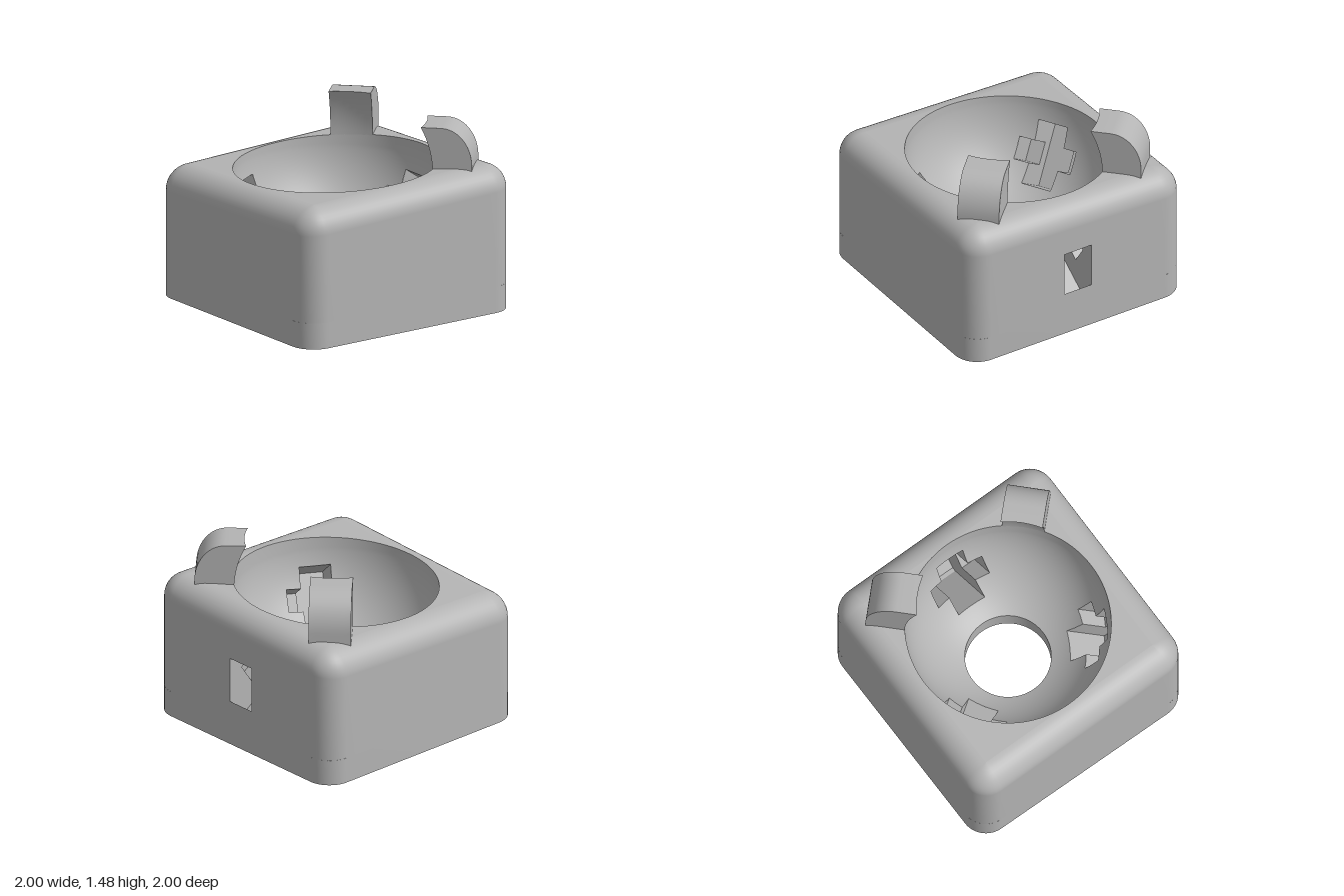
import * as THREE from 'three';
import { toCreasedNormals } from 'three/addons/utils/BufferGeometryUtils.js';

const R = 0.8, CY = 1.11, HOLE = 0.335, FLOOR = 0.21, FILLET = 0.2;
const topY = (x, z) => CY + 0.034 * x - 0.034 * z; // sloping top plane

// Removes the part of a surface that lies inside an oriented box
function cut(geo, { matrix, min, max }) {
  const g = geo.index ? geo.toNonIndexed() : geo.clone();
  g.applyMatrix4(matrix.clone().invert());
  const P = g.attributes.position, N = g.attributes.normal, pos = [], nor = [];
  const emit = (poly) => {
    for (let i = 1; i + 1 < poly.length; i++)
      for (const v of [poly[0], poly[i], poly[i + 1]]) { pos.push(v[0], v[1], v[2]); nor.push(v[3], v[4], v[5]); }
  };
  const clip = (poly, dist) => {
    const out = [];
    poly.forEach((a, i) => {
      const b = poly[(i + 1) % poly.length], da = dist(a), db = dist(b);
      if (da >= 0) out.push(a);
      if ((da > 0 && db < 0) || (da < 0 && db > 0)) out.push(a.map((c, k) => c + (b[k] - c) * da / (da - db)));
    });
    return out;
  };
  for (let t = 0; t < P.count; t += 3) {
    const tri = [0, 1, 2].map((k) => [P.getX(t + k), P.getY(t + k), P.getZ(t + k), N.getX(t + k), N.getY(t + k), N.getZ(t + k)]);
    let rest = tri;
    const pieces = [];
    for (let k = 0; k < 3 && rest.length > 2; k++) {
      for (const dist of [(v) => v[k] - min[k], (v) => max[k] - v[k]]) {
        pieces.push(clip(rest, (v) => -dist(v)));
        rest = clip(rest, dist);
        if (rest.length < 3) break;
      }
    }
    if (rest.length < 3) emit(tri);
    else pieces.forEach(emit);
  }
  const out = new THREE.BufferGeometry();
  out.setAttribute('position', new THREE.Float32BufferAttribute(pos, 3));
  out.setAttribute('normal', new THREE.Float32BufferAttribute(nor, 3));
  return out.applyMatrix4(matrix);
}

// Skin over closed rings of points
function skin(rings) {
  const n = rings[0].length, idx = [];
  for (let j = 0; j + 1 < rings.length; j++)
    for (let i = 0; i < n; i++) {
      const a = j * n + i, b = j * n + (i + 1) % n;
      idx.push(a, b, a + n, b + n, a + n, b);
    }
  const g = new THREE.BufferGeometry().setFromPoints(rings.flat());
  g.setIndex(idx);
  g.computeVertexNormals();
  return g;
}

// Rounded square ring with corner radius rho around a fixed inner square
function squareRing(rho, yAt) {
  const s = 1 - FILLET, pts = [];
  for (let k = 0; k < 4; k++) {
    const c = Math.round(Math.cos(k * Math.PI / 2)), d = Math.round(Math.sin(k * Math.PI / 2));
    const add = (x, z) => {
      const X = x * c + z * d, Z = z * c - x * d;
      pts.push(new THREE.Vector3(X, yAt(X, Z), Z));
    };
    for (let i = 0; i <= 24; i++) add(s * Math.tan((i / 24 - 0.5) * Math.PI / 2), s + rho);
    for (let i = 1; i < 8; i++) add(s + rho * Math.sin(i * Math.PI / 16), s + rho * Math.cos(i * Math.PI / 16));
  }
  return pts;
}

function roundedSquare() {
  const s = new THREE.Shape(), c = 1 - FILLET;
  [[c, c], [-c, c], [-c, -c], [c, -c]].forEach(([x, y], i) =>
    s.absarc(x, y, FILLET, i * Math.PI / 2, (i + 1) * Math.PI / 2, false));
  s.closePath();
  return s;
}

// Tilted box in the frame of a roller slot: across, along the bowl, outwards
function slotBox(angle, u, v, end) {
  const h = new THREE.Vector3(Math.sin(angle), 0, Math.cos(angle)), up = new THREE.Vector3(0, 1, 0);
  const d = h.clone().multiplyScalar(0.824).addScaledVector(up, -0.566).normalize();
  const w = h.clone().multiplyScalar(0.566).addScaledVector(up, 0.824).normalize();
  const matrix = new THREE.Matrix4().makeBasis(w.clone().cross(d), w, d).setPosition(0, CY, 0);
  return { matrix, min: [-u, -v, 0.3], max: [u, v, end] };
}

// Inward facing walls of a slot, starting on the bowl surface
function slotWalls({ matrix, max: [u, v, end] }) {
  const g = new THREE.BoxGeometry(2 * u, 2 * v, 2, 8, 12, 1);
  g.setIndex(Array.from(g.index.array).slice(0, -8 * 12 * 6));
  const p = g.attributes.position;
  for (let i = 0; i < p.count; i++)
    p.setZ(i, p.getZ(i) > 0 ? end : Math.sqrt(R * R - p.getX(i) ** 2 - p.getY(i) ** 2));
  g.scale(-1, 1, 1);
  const flat = g.toNonIndexed();
  flat.computeVertexNormals();
  return flat.applyMatrix4(matrix);
}

// Curved retaining arm: inner face continues the sphere of the bowl
function armGeometry() {
  const top = 1.48, pts = [[0.92, 1.0], [1.09, 1.0]];
  for (let i = 0; i <= 12; i++) {
    const a = i / 12 * Math.PI / 2;
    pts.push([0.85 + 0.24 * Math.cos(a), 1.18 + (top - 1.18) * Math.sin(a)]);
  }
  for (let i = 0; i <= 10; i++) {
    const y = top + (1.1 - top) * i / 10;
    pts.push([Math.sqrt(R * R - (y - CY) ** 2), y]);
  }
  const shape = new THREE.Shape(pts.map(([x, y]) => new THREE.Vector2(x, y)));
  const g = new THREE.ExtrudeGeometry(shape, { depth: 0.33, steps: 6, bevelEnabled: false });
  g.translate(0, 0, -0.165);
  const p = g.attributes.position;
  for (let i = 0; i < p.count; i++)
    if (p.getX(i) < 0.81) p.setX(i, Math.sqrt(p.getX(i) ** 2 - p.getZ(i) ** 2));
  return toCreasedNormals(g, 0.6);
}

export function createModel() {
  const group = new THREE.Group();
  const grey = new THREE.MeshStandardMaterial({ color: 0xb4b4b4 });
  grey.name = 'grey plastic';
  const add = (name, geo) => {
    const m = new THREE.Mesh(geo, grey);
    m.name = name;
    group.add(m);
    return m;
  };

  // Three roller slots, each crossed by an axle slot; the rear one breaks through the wall
  const slots = [Math.PI, Math.PI / 3, -Math.PI / 3].map((a, i) => ({
    roller: slotBox(a, 0.125, 0.255, i ? 1.1 : 1.246),
    axle: slotBox(a, 0.245, 0.09, 1.0),
  }));

  // Outer walls with rounded top edge
  const rings = [squareRing(FILLET, () => FLOOR)];
  for (let i = 0; i <= 10; i++) {
    const a = i / 10 * Math.PI / 2;
    rings.push(squareRing(FILLET * Math.cos(a), (x, z) => topY(x, z) - FILLET * (1 - Math.sin(a))));
  }
  add('outerWalls', cut(skin(rings), slots[0].roller));

  // Sloping top face up to the round rim
  const edge = squareRing(0, topY);
  const rim = edge.map((p) => {
    const a = Math.atan2(p.x, p.z), x = R * Math.sin(a), z = R * Math.cos(a);
    return new THREE.Vector3(x, topY(x, z), z);
  });
  add('topFace', skin([edge, rim]));

  // Spherical bowl, its rim following the sloping top
  const low = Math.acos(HOLE / R), profile = [new THREE.Vector2(R, CY)];
  for (let i = 0; i <= 24; i++) {
    const a = 0.1 + (low - 0.1) * i / 24;
    profile.push(new THREE.Vector2(R * Math.cos(a), CY - R * Math.sin(a)));
  }
  let bowl = new THREE.LatheGeometry(profile, 96);
  const bp = bowl.attributes.position;
  for (let i = 0; i < bp.count; i += profile.length) bp.setY(i, topY(bp.getX(i), bp.getZ(i)));
  for (const s of slots) bowl = cut(cut(bowl, s.roller), s.axle);
  add('bowl', bowl);

  // Round opening below the bowl
  const bottom = CY - R * Math.sin(low);
  add('bowlOpening', new THREE.LatheGeometry([new THREE.Vector2(HOLE, bottom), new THREE.Vector2(HOLE, FLOOR)], 96));

  // Slot interiors
  const outside = { matrix: new THREE.Matrix4(), min: [-3, -3, -3], max: [3, 3, -1] };
  for (const s of slots) {
    add('rollerSlot', cut(cut(slotWalls(s.roller), s.axle), outside));
    add('axleSlot', cut(slotWalls(s.axle), s.roller));
  }

  // Base frame with rectangular recess and four screw slots
  const base = roundedSquare();
  base.holes.push(new THREE.Path([[-0.89, -0.54], [-0.89, 0.54], [0.89, 0.54], [0.89, -0.54]].map((p) => new THREE.Vector2(...p))));
  const h = Math.PI / 2, k = Math.asin(0.7);
  for (const x of [-0.7, 0.7]) for (const y of [-0.765, 0.765]) {
    const slot = new THREE.Path();
    slot.absarc(x + 0.17, y, 0.07, -h, h, false);
    slot.absarc(x, y, 0.1, k, Math.PI - k, false);
    slot.absarc(x - 0.17, y, 0.07, h, 3 * h, false);
    slot.absarc(x, y, 0.1, Math.PI + k, 2 * Math.PI - k, false);
    slot.closePath();
    base.holes.push(slot);
  }
  const frame = new THREE.ExtrudeGeometry(base, { depth: FLOOR, bevelEnabled: false, curveSegments: 10 });
  add('baseFrame', toCreasedNormals(frame, 0.6).rotateX(-Math.PI / 2));

  // Recess ceiling with the round opening
  const ceiling = roundedSquare();
  ceiling.holes.push(new THREE.Path().absarc(0, 0, HOLE, 0, Math.PI * 2, true));
  add('recessCeiling', new THREE.ShapeGeometry(ceiling, 48).rotateX(Math.PI / 2).translate(0, FLOOR, 0));

  // Two retaining arms at the rear corners
  const arm = armGeometry();
  add('leftArm', arm).rotation.y = Math.PI / 4;
  add('rightArm', arm).rotation.y = 3 * Math.PI / 4;
  return group;
}
